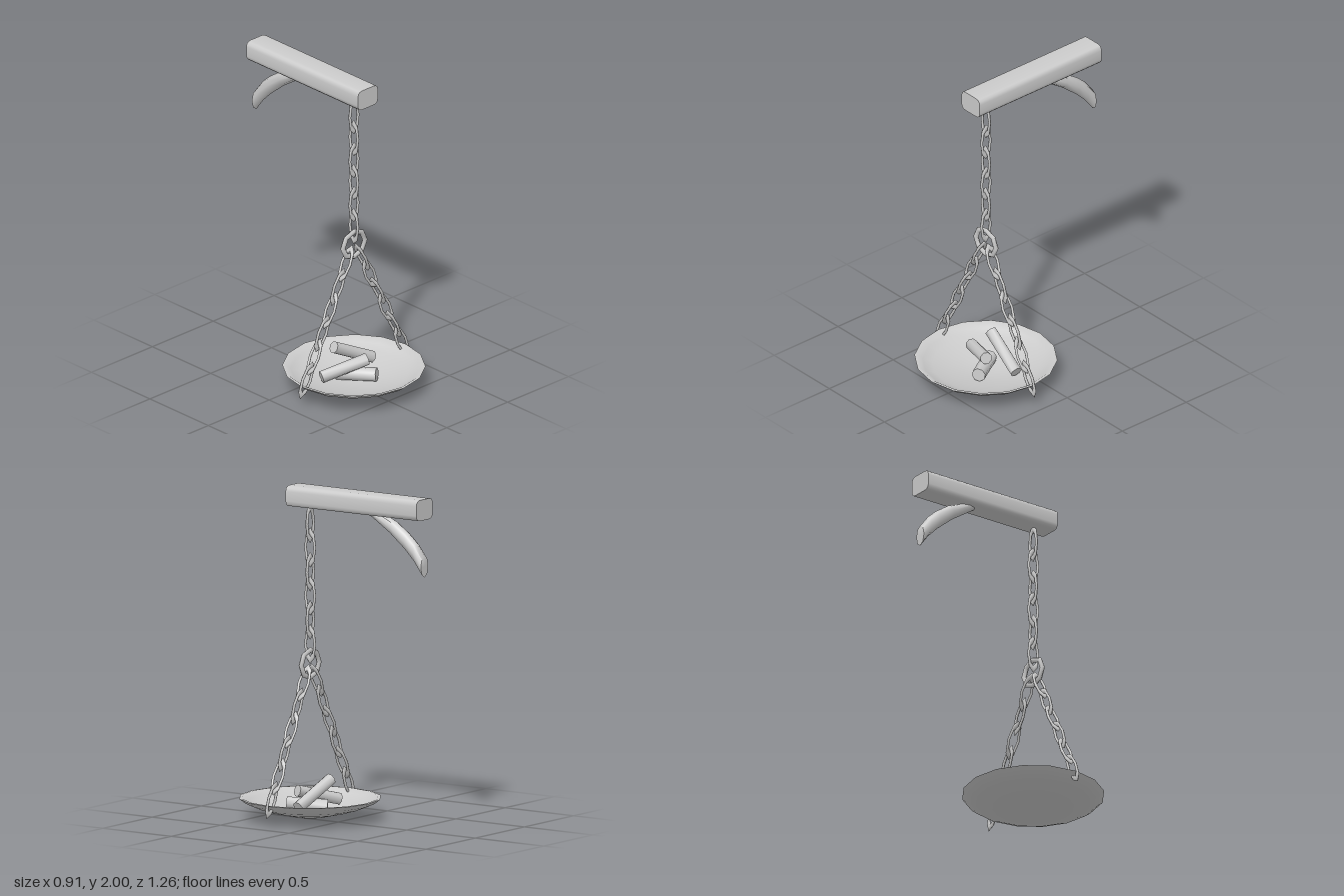
import * as THREE from 'three';
import { toCreasedNormals } from 'three/addons/utils/BufferGeometryUtils.js';

const grey = new THREE.MeshStandardMaterial({ color: 0xcccccc });
const HANG_Z = 0.205; // plane in which chains and dish hang

function part(name, geometry, parent) {
  const mesh = new THREE.Mesh(geometry, grey);
  mesh.name = name;
  parent.add(mesh);
  return mesh;
}

// Beam with softly rounded long edges
function beamGeometry() {
  const w = 0.082, h = 0.0625, r = 0.034;
  const s = new THREE.Shape();
  s.moveTo(-w + r, -h);
  s.lineTo(w - r, -h);
  s.quadraticCurveTo(w, -h, w, -h + r);
  s.lineTo(w, h - r);
  s.quadraticCurveTo(w, h, w - r, h);
  s.lineTo(-w + r, h);
  s.quadraticCurveTo(-w, h, -w, h - r);
  s.lineTo(-w, -h + r);
  s.quadraticCurveTo(-w, -h, -w + r, -h);
  const g = new THREE.ExtrudeGeometry(s, { depth: 0.955, bevelEnabled: false, curveSegments: 3 });
  g.translate(0, 1.9375, -0.63);
  return toCreasedNormals(g, 1.0);
}

// Curved brace: a cylinder whose rows follow an upper and a lower edge, from wall to beam
function braceGeometry() {
  const lower = [[-0.63, 1.53], [-0.57, 1.61], [-0.5, 1.68], [-0.39, 1.77], [-0.2, 1.895]];
  const upper = [[-0.63, 1.66], [-0.57, 1.737], [-0.51, 1.79], [-0.42, 1.85], [-0.3, 1.895]];
  const g = new THREE.CylinderGeometry(1, 1, 1, 8, 4);
  const p = g.attributes.position;
  for (let i = 0; i < p.count; i++) {
    const row = Math.round((p.getY(i) + 0.5) * 4);
    const t = (p.getZ(i) + 1) / 2;
    const [uz, uy] = upper[row], [lz, ly] = lower[row];
    p.setXYZ(i, p.getX(i) * 0.038, uy + (ly - uy) * t, uz + (lz - uz) * t);
  }
  return toCreasedNormals(g, 1.0);
}

// Row of stretched links, each turned a quarter from the one before
const linkGeometry = new THREE.TorusGeometry(0.034, 0.0085, 6, 8).scale(1, 2.82, 1);
function chain(name, x, y, dx, dy, count, firstTurned, parent) {
  const group = new THREE.Group();
  group.name = name;
  for (let i = 0; i < count; i++) {
    const holder = new THREE.Group();
    holder.position.set(x + dx * i, y + dy * i, HANG_Z);
    holder.rotation.z = Math.atan2(dx, -dy);
    const link = part('chainLink', linkGeometry, holder);
    if ((i % 2 === 1) !== firstTurned) link.rotation.y = Math.PI / 2;
    group.add(holder);
  }
  parent.add(group);
}

// Log lying between two points
function log(name, from, to, radius, parent) {
  const a = new THREE.Vector3(...from), b = new THREE.Vector3(...to);
  const dir = b.clone().sub(a);
  const g = toCreasedNormals(new THREE.CylinderGeometry(radius, radius, dir.length(), 8), 0.9);
  const mesh = part(name, g, parent);
  mesh.position.copy(a).add(b).multiplyScalar(0.5);
  mesh.quaternion.setFromUnitVectors(new THREE.Vector3(0, 1, 0), dir.normalize());
}

export function createModel() {
  const model = new THREE.Group();
  model.name = 'hangingBrazier';

  part('beam', beamGeometry(), model);
  part('brace', braceGeometry(), model);

  // Chains and the ring that joins them
  chain('mainChain', 0, 1.775, 0, -0.145, 6, false, model);
  const ring = part('ring', new THREE.TorusGeometry(0.091, 0.019, 6, 8), model);
  ring.scale.set(1, 0.9, 0.7);
  ring.position.set(0, 0.932, HANG_Z);
  for (const side of [1, -1]) {
    chain(side > 0 ? 'leftChain' : 'rightChain', 0.065 * side, 0.825, 0.065 * side, -0.132, 6, true, model);
  }

  // Shallow dish with a thin lip
  const profile = [
    [0, 0], [0.12, 0.022], [0.24, 0.05], [0.33, 0.077], [0.39, 0.102], [0.425, 0.13],
    [0.408, 0.131], [0.375, 0.108], [0.32, 0.088], [0.23, 0.064], [0.12, 0.042], [0, 0.03],
  ].map(([r, y]) => new THREE.Vector2(r, y));
  const dish = part('dish', toCreasedNormals(new THREE.LatheGeometry(profile, 16), 0.9), model);
  dish.position.z = HANG_Z;

  // Logs piled in the dish
  const logs = new THREE.Group();
  logs.name = 'logs';
  log('logLeaning', [-0.07, 0.24, 0.105], [0.205, 0.1, 0.145], 0.037, logs);
  log('logAcross', [-0.205, 0.1, 0.14], [0.06, 0.172, 0.255], 0.037, logs);
  log('logFront', [-0.06, 0.075, 0.12], [0.073, 0.09, 0.325], 0.042, logs);
  model.add(logs);

  return model;
}
